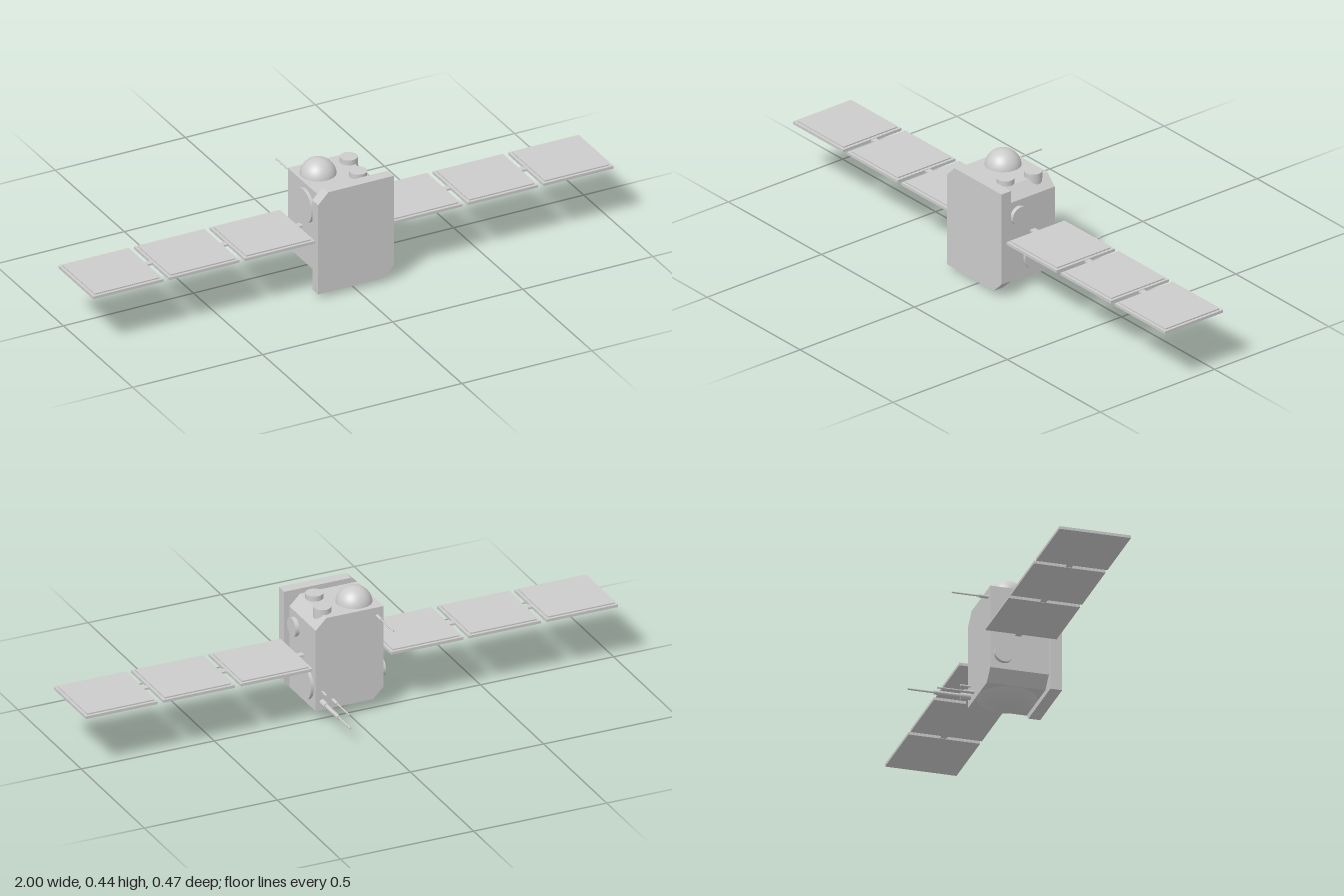
import * as THREE from 'three';

const grey = new THREE.MeshStandardMaterial({ color: 0xcccccc });

export function createModel() {
  const model = new THREE.Group();

  const add = (name, geometry, x = 0, y = 0, z = 0) => {
    const mesh = new THREE.Mesh(geometry, grey);
    mesh.name = name;
    mesh.position.set(x, y, z);
    model.add(mesh);
    return mesh;
  };
  const box = (name, w, h, d, x, y, z) => add(name, new THREE.BoxGeometry(w, h, d), x, y, z);

  // Outline in x and y, extruded from z0 to z1
  const slab = (name, points, z0, z1) => {
    const shape = new THREE.Shape(points.map(([x, y]) => new THREE.Vector2(x, y)));
    add(name, new THREE.ExtrudeGeometry(shape, { depth: z1 - z0, bevelEnabled: false }), 0, 0, z0);
  };

  // Body with two opposite corners cut off
  slab('body', [
    [-0.09, 0.04], [0.125, 0.04], [0.125, 0.345],
    [0.085, 0.385], [-0.13, 0.385], [-0.13, 0.08],
  ], -0.013, 0.196);

  // Front plate, cut at the other two corners
  slab('frontPlate', [
    [-0.147, 0.02], [0.105, 0.02], [0.145, 0.06],
    [0.145, 0.404], [-0.107, 0.404], [-0.147, 0.364],
  ], 0.195, 0.237);

  // Domes above and below the body
  add('topDome', new THREE.SphereGeometry(0.0635, 48, 24, 0, Math.PI * 2, 0, Math.PI / 2), -0.056, 0.378, 0.066);
  const cap = new THREE.SphereGeometry(0.161, 64, 16, 0, Math.PI * 2, 0, 0.705);
  cap.rotateX(Math.PI);
  add('bottomDome', cap, 0.018, 0.163, 0.091);

  // Round pucks on the roof
  for (const [x, z] of [[0.055, 0.146], [0.075, 0.041]]) {
    add('roofPuck', new THREE.CylinderGeometry(0.031, 0.031, 0.064, 40), x, 0.372, z);
  }

  // Round ports on both sides, turned half around on the far side
  const ports = [
    [0.034, 0.132, 0.29, 0.148], [0.0615, 0.128, 0.12, 0.063],
    [0.0615, -0.133, 0.305, 0.117], [0.034, -0.137, 0.135, 0.033],
  ];
  for (const [r, x, y, z] of ports) {
    const port = new THREE.CylinderGeometry(r, r, 0.016, 48);
    port.rotateZ(Math.PI / 2);
    add('sidePort', port, x, y, z);
  }

  // Solar wings: three panels each side, joined by short hinges
  for (const side of [-1, 1]) {
    for (let i = 0; i < 3; i++) {
      const x = side * (0.283 + i * 0.291);
      box('solarPanel', 0.27, 0.01, 0.254, x, 0.212, 0.09);
      box('solarCells', 0.25, 0.005, 0.234, x, 0.2192, 0.09);
      box('hinge', 0.03, 0.007, 0.022, side * (0.1375 + i * 0.291), 0.212, 0.085);
    }
  }

  // Stepped antennas on the back: sections are [radius, end z]
  const antenna = (x, y, sections) => {
    let z0 = -0.012;
    for (const [r, z1] of sections) {
      const rod = new THREE.CylinderGeometry(r, r, z0 - z1, 20);
      rod.rotateX(Math.PI / 2);
      add('antenna', rod, x, y, (z0 + z1) / 2);
      z0 = z1;
    }
  };
  antenna(-0.106, 0.353, [[0.006, -0.048], [0.003, -0.143]]);
  antenna(0.06, 0.07, [[0.006, -0.048], [0.003, -0.143]]);
  antenna(0.1, 0.07, [[0.011, -0.048], [0.0075, -0.143], [0.0035, -0.235]]);
  antenna(0.1, 0.109, [[0.004, -0.048]]);

  return model;
}
